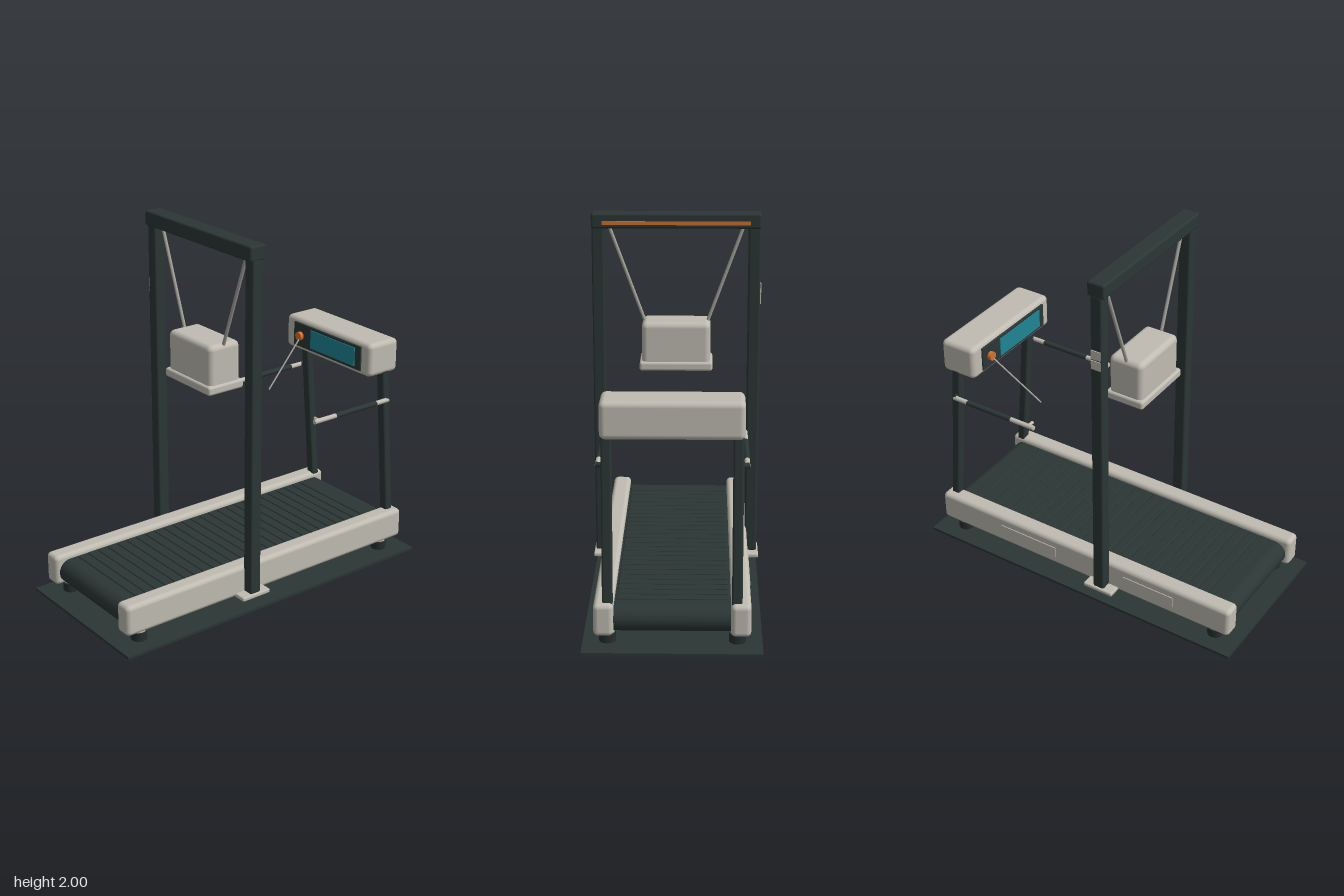
import * as THREE from 'three';
import { RoundedBoxGeometry } from 'three/addons/geometries/RoundedBoxGeometry.js';

const material = (name, color) => {
  const m = new THREE.MeshStandardMaterial({ color });
  m.name = name;
  return m;
};

export function createModel() {
  const group = new THREE.Group();
  const shell = material('warm grey shell', 0xc0bcb2);
  const dark = material('charcoal frame', 0x2b3635);
  const rubber = material('dark rubber', 0x252d2d);
  const metal = material('cable metal', 0xa3a199);
  const orange = material('orange accent', 0xd0702f);
  const teal = material('teal screen', 0x1f8494);

  const add = (name, geometry, mat) => {
    const mesh = new THREE.Mesh(geometry, mat);
    mesh.name = name;
    group.add(mesh);
    return mesh;
  };

  // Box given by its extents; a radius rounds its edges
  const box = (name, mat, [x0, x1], [y0, y1], [z0, z1], r = 0) => {
    const w = x1 - x0, h = y1 - y0, d = z1 - z0;
    const g = r ? new RoundedBoxGeometry(w, h, d, 3, r) : new THREE.BoxGeometry(w, h, d);
    const mesh = add(name, g, mat);
    mesh.position.set((x0 + x1) / 2, (y0 + y1) / 2, (z0 + z1) / 2);
    return mesh;
  };

  // Round rod between two points
  const rod = (name, mat, a, b, r) => {
    const from = new THREE.Vector3(...a), to = new THREE.Vector3(...b);
    const dir = to.clone().sub(from);
    const mesh = add(name, new THREE.CylinderGeometry(r, r, dir.length(), 16), mat);
    mesh.position.copy(from).add(to).multiplyScalar(0.5);
    mesh.quaternion.setFromUnitVectors(new THREE.Vector3(0, 1, 0), dir.normalize());
    return mesh;
  };

  // Extents mirrored to side s
  const side = (s, a, b) => (s > 0 ? [a, b] : [-b, -a]);

  // Floor mat
  box('floorMat', dark, [-0.98, 0.98], [0, 0.015], [-0.45, 0.45]);

  // Running belt: a band with rounded ends
  const r = 0.068, end = 0.85;
  const band = new THREE.Shape();
  band.absarc(end, 0, r, -Math.PI / 2, Math.PI / 2, false);
  band.absarc(-end, 0, r, Math.PI / 2, Math.PI * 1.5, false);
  const belt = add('runningBelt', new THREE.ExtrudeGeometry(band, { depth: 0.58, bevelEnabled: false, curveSegments: 16 }), dark);
  belt.position.set(0, 0.152, -0.29);

  // Belt slats
  for (let i = 0; i < 26; i++) {
    const x = -0.78 + i * 0.062;
    box('beltSlat', dark, [x - 0.027, x + 0.027], [0.214, 0.226], [-0.28, 0.28], 0.005);
  }

  for (const s of [1, -1]) {
    // Side rail and its feet
    box('sideRail', shell, [-0.94, 0.937], [0.08, 0.25], side(s, 0.29, 0.39), 0.025);
    for (const x of [-0.83, 0.83]) {
      rod('footPad', rubber, [x, 0.012, s * 0.325], [x, 0.062, s * 0.325], 0.043);
      rod('footCollar', shell, [x, 0.06, s * 0.325], [x, 0.085, s * 0.325], 0.036);
    }

    // Overhead frame post and base plate
    box('framePost', dark, [-0.198, -0.132], [0.1, 1.93], side(s, 0.382, 0.447), 0.01);
    box('postBase', shell, [-0.255, -0.075], [0.08, 0.104], side(s, 0.375, 0.457), 0.008);

    // Suspension cable
    rod('suspensionCable', metal, [-0.165, 1.93, s * 0.357], [-0.165, 1.4, s * 0.163], 0.009);

    // Leaning console upright
    const upright = box('consoleUpright', dark, [-0.024, 0.024], [-0.46, 0.46], [-0.026, 0.026], 0.01);
    upright.position.set(0.848, 0.67, s * 0.32);
    upright.rotation.z = Math.atan2(0.067, 0.86);

    // Handrail with grip, inward peg and clamp
    const z = s * 0.363;
    rod('handrail', shell, [0.29, 0.937, z], [0.82, 0.937, z], 0.013);
    rod('handrailGrip', dark, [0.44, 0.937, z], [0.73, 0.937, z], 0.0145);
    rod('handrailPeg', shell, [0.328, 0.937, z], [0.328, 0.937, s * 0.322], 0.009);
    rod('handrailClamp', dark, [0.812, 0.937, z + s * 0.008], [0.825, 0.937, s * 0.32], 0.014);
  }

  // Crossbeam with accent strip
  box('crossbeam', dark, [-0.215, -0.115], [1.92, 2], [-0.448, 0.448], 0.012);
  box('beamStrip', orange, [-0.117, -0.112], [1.94, 1.96], [-0.39, 0.39]);

  // Suspended support unit
  box('supportBody', shell, [-0.264, -0.065], [1.18, 1.424], [-0.183, 0.183], 0.03);
  box('supportLip', shell, [-0.278, -0.053], [1.163, 1.212], [-0.195, 0.195], 0.014);

  // Console with display
  box('console', shell, [0.685, 0.897], [1.086, 1.276], [-0.35, 0.35], 0.028);
  box('displayPanel', dark, [0.676, 0.69], [1.112, 1.252], [-0.275, 0.285], 0.005);
  box('displayScreen', teal, [0.671, 0.678], [1.13, 1.236], [-0.125, 0.24]);

  // Safety key and cord
  rod('safetyKey', orange, [0.655, 1.18, -0.213], [0.678, 1.18, -0.213], 0.025);
  rod('safetyCord', metal, [0.66, 1.165, -0.208], [0.395, 0.94, -0.148], 0.0045);

  // Thin plates on the right rail and right post
  for (const [x0, x1] of [[-0.6, -0.29], [0.155, 0.52]]) {
    box('railPlate', shell, [x0, x1], [0.13, 0.195], [-0.395, -0.388]);
  }
  for (const y of [1.515, 1.573]) {
    box('postPlate', shell, [-0.192, -0.138], [y, y + 0.05], [-0.452, -0.445]);
  }

  return group;
}
